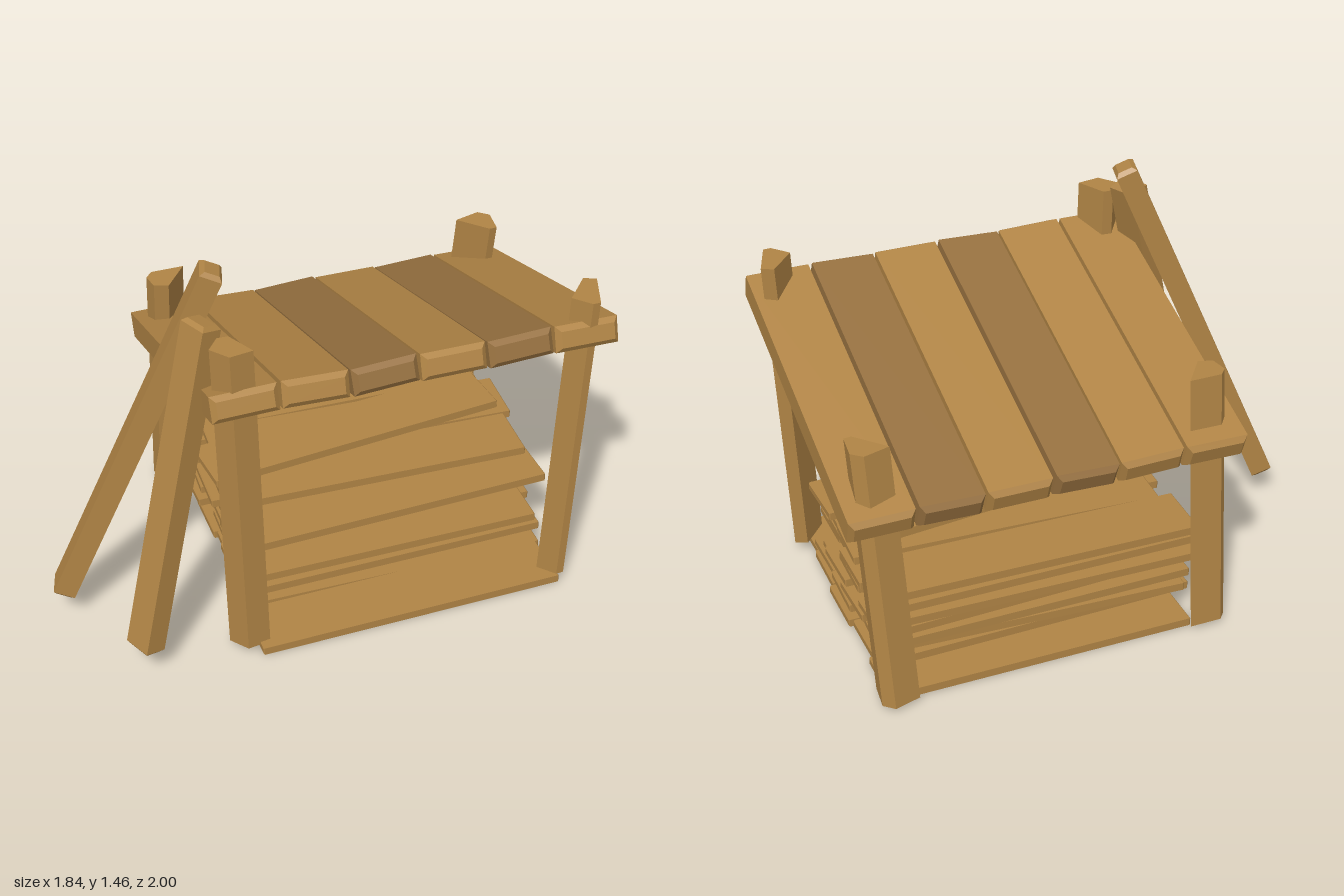
import * as THREE from 'three';

const wood = new THREE.MeshStandardMaterial({ color: 0xb08445, flatShading: true });
const darkWood = new THREE.MeshStandardMaterial({ color: 0x96703f, flatShading: true });

// Board with chamfered edges, long axis on z
function board(w, h, l, c) {
  const x = w / 2 - c, y = h / 2 - c;
  const s = new THREE.Shape([[-x, -y], [x, -y], [x, y], [-x, y]].map(p => new THREE.Vector2(...p)));
  const g = new THREE.ExtrudeGeometry(s, {
    depth: l - 2 * c, bevelEnabled: true, bevelThickness: c, bevelSize: c, bevelSegments: 1
  });
  return g.translate(0, 0, c - l / 2);
}

// Rough-hewn post: an uneven section sheared from its base to its top
function post(section, base, top) {
  const s = new THREE.Shape(section.map(([x, z]) => new THREE.Vector2(x, -z)));
  const g = new THREE.ExtrudeGeometry(s, { depth: 1, bevelEnabled: false }).rotateX(-Math.PI / 2);
  const p = g.attributes.position;
  for (let i = 0; i < p.count; i++) {
    const t = p.getY(i);
    p.setXYZ(i,
      p.getX(i) + THREE.MathUtils.lerp(base[0], top[0], t),
      THREE.MathUtils.lerp(base[1], top[1], t),
      p.getZ(i) + THREE.MathUtils.lerp(base[2], top[2], t));
  }
  g.computeVertexNormals();
  return g;
}

function add(parent, name, geometry, material = wood) {
  const m = new THREE.Mesh(geometry, material);
  m.name = name;
  parent.add(m);
  return m;
}

let seed = 7;
function jitter(a) {
  seed = (seed * 16807) % 2147483647;
  return (seed / 2147483647 * 2 - 1) * a;
}

export function createModel() {
  const model = new THREE.Group();
  model.name = 'woodShelter';

  // The shelter stands turned on the ground
  const turned = new THREE.Group();
  turned.name = 'turnedFrame';
  turned.rotation.y = 0.716;
  model.add(turned);

  // Sloping roof of six planks
  const roof = new THREE.Group();
  roof.name = 'roof';
  roof.position.set(0.055, 0.915, -0.075);
  roof.rotation.x = -0.315;
  turned.add(roof);
  const rolls = [0.02, -0.03, 0.05, 0, 0.04, -0.01];
  rolls.forEach((roll, i) => {
    const m = add(roof, 'roofPlank', board(0.232, 0.095, 1.2, 0.018), i === 2 || i === 4 ? darkWood : wood);
    m.position.x = (i - 2.5) * 0.243;
    m.rotation.z = roll;
  });

  // Four leaning corner posts
  const posts = [
    ['frontPost', [[-0.07, -0.03], [-0.04, -0.055], [0.07, -0.01], [0.015, 0.055], [-0.065, 0.04]],
      [-0.135, 0.02, 0.675], [-0.155, 1.28, 0.69]],
    ['leftPost', [[-0.05, -0.065], [-0.005, -0.08], [0.05, 0.06], [0.03, 0.08], [-0.05, 0.07]],
      [0.75, 0.04, -0.12], [0.8, 1.22, -0.155]],
    ['rightPost', [[-0.05, 0], [0.04, -0.08], [0.05, 0.06], [0, 0.08], [-0.05, 0.04]],
      [-0.84, 0.02, -0.11], [-0.77, 0.99, -0.03]],
    ['backPost', [[-0.08, 0.035], [-0.025, -0.05], [0.025, -0.05], [0.08, 0.03], [0.06, 0.05]],
      [0.06, 0.02, -0.91], [0.17, 0.98, -0.845]]
  ];
  for (const [name, section, base, top] of posts) add(model, name, post(section, base, top));

  // Two loose poles leaning on the front corner
  const poles = [
    [[-0.82, 0.13, 0.775], [-0.305, 1.43, 0.525], 0.1],
    [[-0.415, 0.125, 0.94], [-0.285, 1.305, 0.65], 0.11]
  ];
  for (const [a, b, w] of poles) {
    const from = new THREE.Vector3(...a), to = new THREE.Vector3(...b);
    const m = add(model, 'leaningPole', board(w, 0.08, from.distanceTo(to) + 0.04, 0.014));
    m.position.copy(from).lerp(to, 0.5);
    m.lookAt(to);
  }

  // Stacked boards, laid crosswise to the roof planks
  function lay(name, y, v, u, yaw) {
    const m = add(turned, name, board(0.225, 0.03, 1.15, 0.004));
    m.position.set(u, y, v);
    m.rotation.y = Math.PI / 2 + yaw;
  }
  for (let i = 0; i < 5; i++) lay('floorBoard', 0.016, 0.38 - i * 0.226, 0.07 + jitter(0.02), jitter(0.02));
  const layers = [
    [0.09, [0.15, -0.1, -0.42]],
    [0.118, [-0.42]],
    [0.155, [0.03, -0.22]],
    [0.187, [0.2, -0.05, -0.46]],
    [0.217, [-0.42]],
    [0.255, [0.03, -0.21, -0.45]],
    [0.3, [0.02, -0.24]],
    [0.33, [0.18, -0.08, -0.46]],
    [0.375, [0.02, -0.22, -0.46]]
  ];
  for (const [y, rows] of layers) {
    for (const v of rows) lay('stackedBoard', y, v, 0.05 + jitter(0.04), jitter(0.05));
  }
  lay('topBoard', 0.436, -0.13, 0.012, 0.11);

  return model;
}
